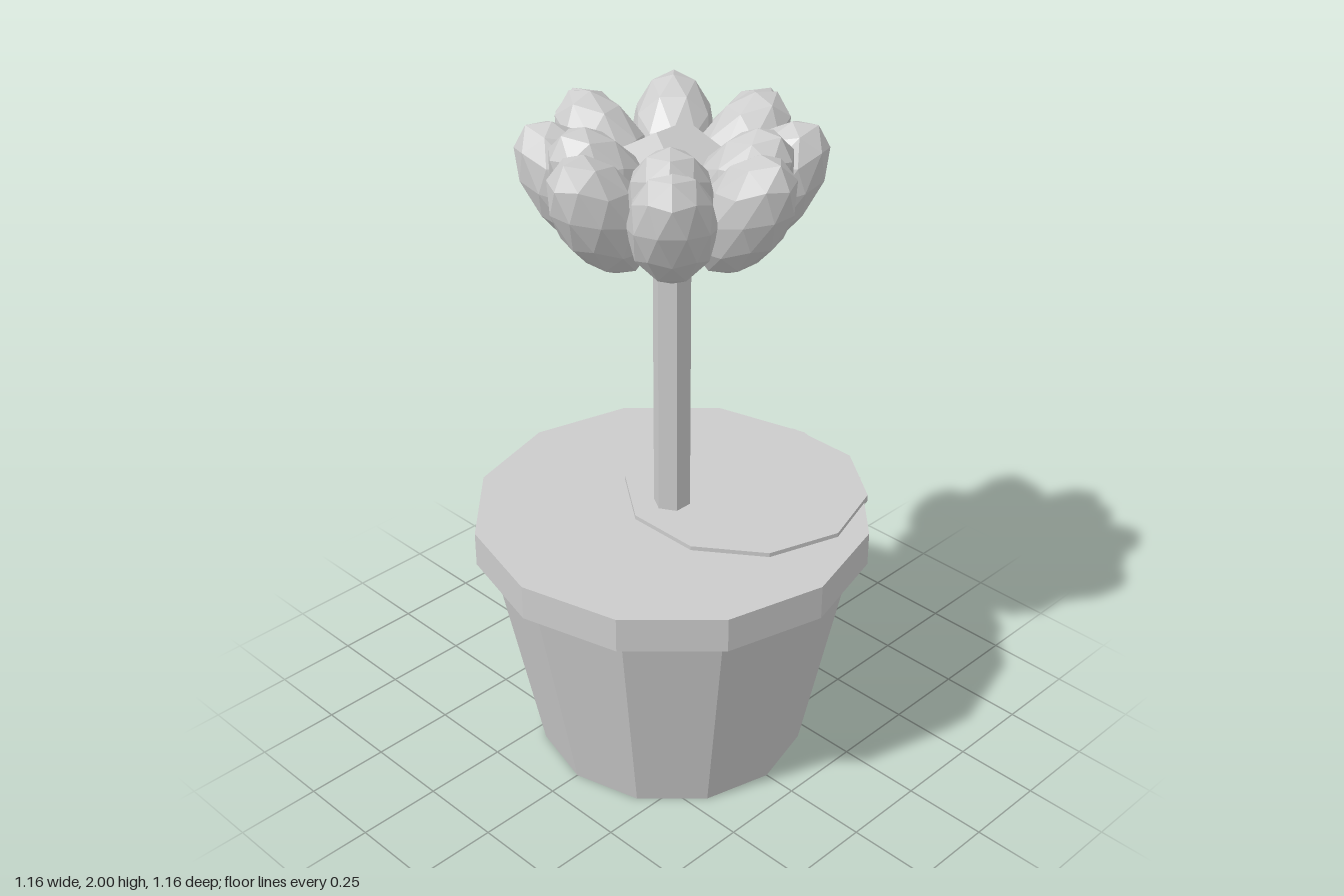
import * as THREE from 'three';

export function createModel() {
  const model = new THREE.Group();
  const grey = new THREE.MeshStandardMaterial({ color: 0xcccccc, flatShading: true });
  grey.name = 'light grey';

  function add(name, geometry, x, y, z, parent = model) {
    const mesh = new THREE.Mesh(geometry, grey);
    mesh.name = name;
    mesh.position.set(x, y, z);
    parent.add(mesh);
    return mesh;
  }

  // A faceted prism or taper between two heights
  function column(name, rTop, rBottom, y0, y1, sides, x = 0, z = 0) {
    return add(name, new THREE.CylinderGeometry(rTop, rBottom, y1 - y0, sides), x, (y0 + y1) / 2, z);
  }

  // Pot, rim, off-centre soil disc
  column('pot', 0.535, 0.4, 0, 0.68, 12);
  column('potRim', 0.58, 0.58, 0.675, 0.78, 12);
  column('soil', 0.36, 0.36, 0.772, 0.793, 10, 0.215, 0.09);

  // Six-sided stem with corners on the x axis
  column('stem', 0.054, 0.054, 0.7, 1.78, 6).rotation.y = Math.PI / 6;

  // Flower heart
  add('flowerHeart', new THREE.DodecahedronGeometry(0.16), 0, 1.8, 0);

  // Rings of egg-shaped petals leaning outward
  function petalRing(name, count, startDeg, radius, y, tiltDeg, length, width) {
    const geometry = new THREE.IcosahedronGeometry(1, 1).scale(width, length, width);
    for (let i = 0; i < count; i++) {
      const arm = new THREE.Group();
      arm.name = name + 'Arm';
      arm.rotation.y = THREE.MathUtils.degToRad(startDeg + (i * 360) / count);
      add(name, geometry, radius, y, 0, arm).rotation.z = -THREE.MathUtils.degToRad(tiltDeg);
      model.add(arm);
    }
  }
  petalRing('outerPetal', 8, 0, 0.26, 1.782, 35, 0.21, 0.118);
  petalRing('innerPetal', 6, 44, 0.205, 1.823, 35, 0.2, 0.117);

  return model;
}
